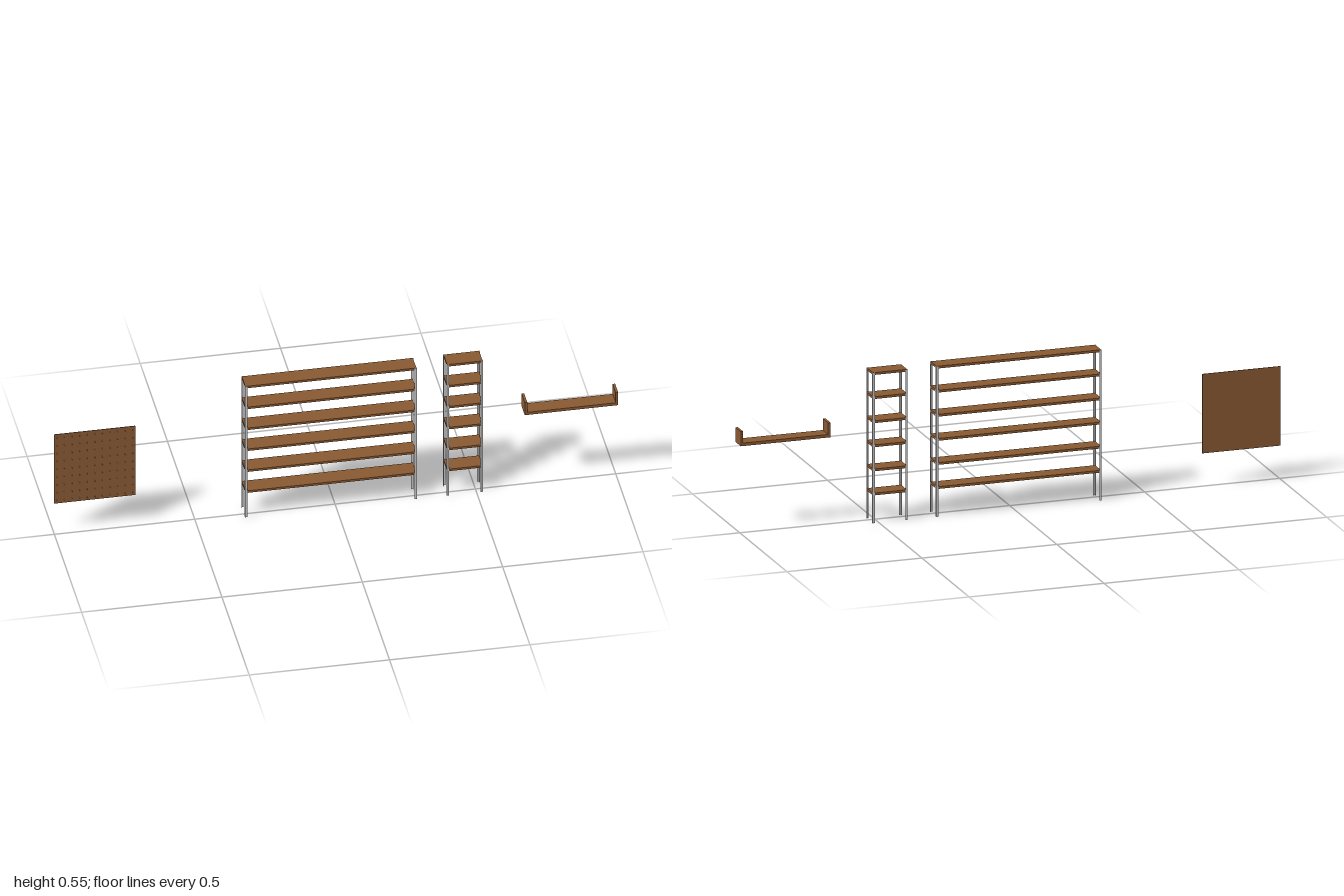
import * as THREE from 'three';

const wood = new THREE.MeshStandardMaterial({ color: 0x8b5a33 });
const metal = new THREE.MeshStandardMaterial({ color: 0xcccccc });

// Box given by its minimum and maximum corners
function box(name, material, min, max) {
  const size = max.map((v, i) => v - min[i]);
  const mesh = new THREE.Mesh(new THREE.BoxGeometry(...size), material);
  mesh.position.set(...max.map((v, i) => (v + min[i]) / 2));
  mesh.name = name;
  return mesh;
}

// Angle-iron post: an L section whose corner points outwards
function anglePost(x, z, sx, sz, height) {
  const w = 0.008, t = 0.0012;
  const points = [[0, 0], [w, 0], [w, t], [t, t], [t, w], [0, w]]
    .map(([a, b]) => new THREE.Vector2(-sx * a, sz * b));
  const geometry = new THREE.ExtrudeGeometry(new THREE.Shape(points), { depth: height, bevelEnabled: false });
  geometry.rotateX(-Math.PI / 2);
  const post = new THREE.Mesh(geometry, metal);
  post.position.set(x, 0, z);
  post.name = 'anglePost';
  return post;
}

// Free-standing rack with six boards between four posts
function rack(name, x0, x1) {
  const group = new THREE.Group();
  group.name = name;
  const z0 = -0.045, z1 = 0.022, gap = 0.0012;
  for (const [x, sx] of [[x0, -1], [x1, 1]])
    for (const [z, sz] of [[z0, -1], [z1, 1]]) group.add(anglePost(x, z, sx, sz, 0.549));
  for (let i = 0; i < 6; i++) {
    const y = 0.101 + i * 0.088;
    group.add(box('shelfBoard', wood, [x0 + gap, y, z0 + gap], [x1 - gap, y + 0.0085, z1 - gap]));
  }
  return group;
}

// Thin wall panel with a grid of small upturned hooks
function pegboard() {
  const group = new THREE.Group();
  group.name = 'pegboard';
  group.add(box('pegPanel', wood, [-1, 0.123, -0.011], [-0.71, 0.413, -0.009]));
  const path = new THREE.CatmullRomCurve3([
    new THREE.Vector3(0, 0, -0.009), new THREE.Vector3(0, -0.0003, -0.004),
    new THREE.Vector3(0, 0, -0.001), new THREE.Vector3(0, 0.002, 0)]);
  const hook = new THREE.TubeGeometry(path, 6, 0.0009, 5);
  const columns = 11, rows = 9;
  const pegs = new THREE.InstancedMesh(hook, metal, 1);
  pegs.dispose();
  for (let r = 0; r < rows; r++)
    for (let c = 0; c < columns; c++) {
      const peg = new THREE.Mesh(hook, metal);
      peg.position.set(-0.99 + c * 0.027, 0.138 + r * 0.0328, 0);
      peg.name = 'hook';
      group.add(peg);
    }
  return group;
}

// Wall shelf: a board with an upright panel at each end
function wallShelf() {
  const group = new THREE.Group();
  group.name = 'wallShelf';
  const x0 = 0.667, x1 = 1, z0 = -0.011, z1 = 0.046, t = 0.009;
  group.add(box('wallBoard', wood, [x0 + t, 0.319, z0], [x1 - t, 0.33, z1]));
  for (const x of [x0, x1 - t])
    group.add(box('endPanel', wood, [x, 0.319, z0], [x + t, 0.372, z1]));
  return group;
}

export function createModel() {
  const model = new THREE.Group();
  model.name = 'shelvingSet';
  model.add(pegboard(), rack('wideRack', -0.325, 0.287), rack('narrowRack', 0.394, 0.523), wallShelf());
  return model;
}
